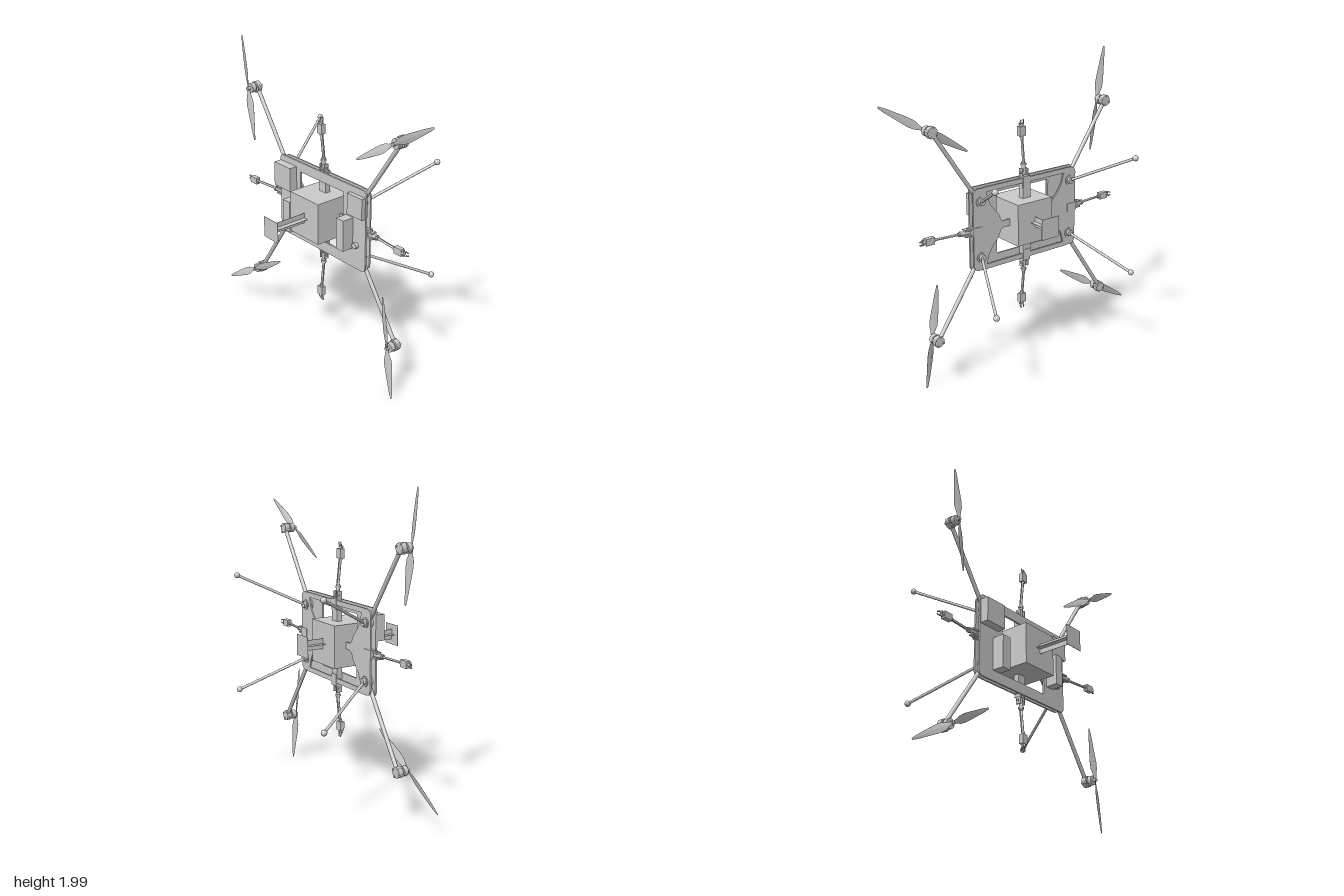
import * as THREE from 'three';

const mat = new THREE.MeshStandardMaterial({ color: 0xcccccc, side: THREE.DoubleSide });
const V = (x, y, z) => new THREE.Vector3(x, y, z);

function add(parent, name, geo, x = 0, y = 0, z = 0) {
  const m = new THREE.Mesh(geo, mat);
  m.name = name;
  m.position.set(x, y, z);
  parent.add(m);
  return m;
}

// box given by its limits on each axis
function box(parent, name, x0, x1, y0, y1, z0, z1) {
  return add(parent, name, new THREE.BoxGeometry(x1 - x0, y1 - y0, z1 - z0),
    (x0 + x1) / 2, (y0 + y1) / 2, (z0 + z1) / 2);
}

// cylinder whose axis runs along z
function disc(parent, name, r, x, y, z0, z1, sides = 20) {
  const g = new THREE.CylinderGeometry(r, r, z1 - z0, sides).rotateX(Math.PI / 2);
  return add(parent, name, g, x, y, (z0 + z1) / 2);
}

// round bar between two points
function rod(parent, name, a, b, r, sides = 12) {
  const d = b.clone().sub(a);
  const m = add(parent, name, new THREE.CylinderGeometry(r, r, d.length(), sides));
  m.position.copy(a).add(b).multiplyScalar(0.5);
  m.quaternion.setFromUnitVectors(V(0, 1, 0), d.normalize());
  return m;
}

function roundedRect(s, x0, y0, x1, y1, r) {
  s.absarc(x1 - r, y1 - r, r, 0, Math.PI / 2);
  s.absarc(x0 + r, y1 - r, r, Math.PI / 2, Math.PI);
  s.absarc(x0 + r, y0 + r, r, Math.PI, Math.PI * 1.5);
  s.absarc(x1 - r, y0 + r, r, Math.PI * 1.5, Math.PI * 2);
  s.closePath();
  return s;
}

const slab = (shape, depth) => new THREE.ExtrudeGeometry(shape, { depth, bevelEnabled: false, curveSegments: 8 });

// twisted, tapering blade along +x
function bladeGeometry(length, hand) {
  const chord = [0.016, 0.028, 0.05, 0.054, 0.049, 0.043, 0.036, 0.03, 0.022, 0.01];
  const g = new THREE.BoxGeometry(1, 1, 1, chord.length - 1, 2, 1).toNonIndexed();
  const p = g.attributes.position;
  for (let i = 0; i < p.count; i++) {
    const u = p.getX(i) + 0.5, v = p.getY(i);
    const c = chord[Math.round(u * (chord.length - 1))];
    const thick = 0.006 * (1 - 0.6 * u) * (Math.abs(v) > 0.4 ? 0.2 : 1);
    const a = hand * (0.4 - 0.3 * u), y = v * c, z = p.getZ(i) * thick;
    p.setXYZ(i, u * length, y * Math.cos(a) - z * Math.sin(a), y * Math.sin(a) + z * Math.cos(a));
  }
  g.computeVertexNormals();
  return g;
}

// arm, motor and propeller for one corner
function rotorArm(sx, sy) {
  const g = new THREE.Group();
  g.name = 'rotorArm';
  const x = 0.667 * sx, y = 1 + 0.658 * sy;
  rod(g, 'armTube', V(0.345 * sx, 1 + 0.18 * sy, 0.017), V(x, y, 0.017), 0.013);
  disc(g, 'motorMount', 0.034, x, y, 0.002, 0.034);
  disc(g, 'motorBase', 0.02, x, y, 0.034, 0.046);
  disc(g, 'motorBell', 0.031, x, y, 0.046, 0.074);
  disc(g, 'motorShaft', 0.011, x, y, 0.07, 0.098, 12);
  for (let i = 0; i < 4; i++) {
    const a = i * Math.PI / 2 + 0.4;
    disc(g, 'mountScrew', 0.007, x + 0.03 * Math.cos(a), y + 0.03 * Math.sin(a), -0.002, 0.042, 8);
  }
  const hand = sx * sy;
  const angle = THREE.MathUtils.degToRad(hand > 0 ? 30.8 : 98.4);
  for (const turn of [0, Math.PI]) {
    add(g, 'propellerBlade', bladeGeometry(0.342, hand), x, y, 0.088).rotation.z = angle + turn;
  }
  return g;
}

// gripper built along +y, then turned to its side of the frame
function gripper(angle, reach) {
  const g = new THREE.Group();
  g.name = 'gripperArm';
  box(g, 'hingeBlock', -0.026, 0.026, -0.06, 0.015, -0.012, 0.028);
  for (const s of [-1, 1]) box(g, 'hingeLug', s * 0.018 - 0.005, s * 0.018 + 0.005, 0, 0.06, 0, 0.034);
  rod(g, 'hingePin', V(-0.03, 0.035, 0.017), V(0.03, 0.035, 0.017), 0.008);
  rod(g, 'link', V(0, 0.02, 0.017), V(0, 0.1, 0.022), 0.013, 8);
  rod(g, 'collar', V(0, 0.078, 0.02), V(0, 0.09, 0.021), 0.018, 8);
  rod(g, 'boom', V(0, 0.08, 0.02), V(0, 0.29, 0.042), 0.007);
  rod(g, 'boomCable', V(0, 0.08, 0.008), V(0, 0.27, 0.028), 0.003, 6);
  box(g, 'servoBox', -0.022, 0.022, 0.262, 0.322, 0.024, 0.054);
  rod(g, 'wrist', V(0, 0.25, 0.039), V(0, 0.34, 0.042), 0.011, 8);
  rod(g, 'wristPin', V(-0.017, 0.335, 0.042), V(0.017, 0.335, 0.042), 0.007, 8);
  for (const s of [-1, 1]) {
    rod(g, 'fingerBase', V(0, 0.33, 0.042), V(s * 0.014, 0.348, 0.036), 0.005, 6);
    rod(g, 'fingerTip', V(s * 0.014, 0.346, 0.036), V(s * 0.008, 0.364, 0.032), 0.004, 6);
  }
  g.rotation.z = angle;
  g.position.set(-Math.sin(angle) * reach, 1 + Math.cos(angle) * reach, 0);
  return g;
}

export function createModel() {
  const model = new THREE.Group();
  model.name = 'drone';

  // front plate with its window
  const plate = roundedRect(new THREE.Shape(), -0.408, -0.27, 0.408, 0.27, 0.03);
  plate.holes.push(roundedRect(new THREE.Path(), -0.204, -0.2, 0.204, 0.205, 0.006));
  add(model, 'frontPlate', slab(plate, 0.012), 0, 1.005, 0.028);

  // rear side panels with bulging inner edges, joined by a crossbar
  for (const s of [-1, 1]) {
    const panel = new THREE.Shape();
    panel.moveTo(0.405, -0.23);
    panel.lineTo(0.405, 0.23);
    panel.quadraticCurveTo(0.4, 0.265, 0.36, 0.265);
    panel.quadraticCurveTo(0.31, 0.265, 0.3, 0.21);
    panel.bezierCurveTo(0.285, 0.12, 0.21, 0.09, 0.205, 0.05);
    panel.quadraticCurveTo(0.2, 0.024, 0.17, 0.022);
    panel.lineTo(0.12, 0.022);
    panel.lineTo(0.12, -0.022);
    panel.lineTo(0.17, -0.022);
    panel.quadraticCurveTo(0.2, -0.024, 0.205, -0.05);
    panel.bezierCurveTo(0.21, -0.09, 0.285, -0.12, 0.3, -0.21);
    panel.quadraticCurveTo(0.31, -0.265, 0.36, -0.265);
    panel.quadraticCurveTo(0.4, -0.265, 0.405, -0.23);
    const m = add(model, 'rearPanel', slab(panel, 0.01), 0, 1.005, s > 0 ? -0.008 : 0.002);
    if (s < 0) m.rotation.y = Math.PI;
    // edge rails
    const y = 1.005 + s * 0.25;
    box(model, 'edgeRail', -0.34, 0.34, y - 0.016, y + 0.016, -0.008, 0.002);
  }
  box(model, 'spine', -0.033, 0.028, 0.74, 1.27, -0.008, 0.028);

  // central body and the cross-section mast running through it
  box(model, 'body', -0.138, 0.13, 0.867, 1.137, -0.092, 0.176);
  box(model, 'mastWebFlat', -0.036, 0.03, 1.0005, 1.0035, -0.24, 0.432);
  box(model, 'mastWebUpright', -0.0045, -0.0015, 0.969, 1.035, -0.24, 0.432);
  for (const z of [-0.241, 0.431]) box(model, 'mastEndPlate', -0.07, 0.064, 0.935, 1.069, z, z + 0.003);

  // equipment on the front plate
  box(model, 'batteryBox', -0.402, -0.242, 1.075, 1.235, 0.04, 0.095);
  box(model, 'sensorBoxRight', -0.287, -0.22, 0.802, 1.017, 0.04, 0.12);
  box(model, 'radioBox', 0.27, 0.402, 1.095, 1.232, 0.04, 0.068);
  box(model, 'sensorBoxLeft', 0.232, 0.296, 0.865, 1.07, 0.04, 0.12);
  disc(model, 'cameraLens', 0.019, 0.33, 0.897, 0.04, 0.062);

  // corners: hinge, rotor arm and rear leg
  for (const sx of [-1, 1]) for (const sy of [-1, 1]) {
    const x = 0.352 * sx, y = 1.005 + 0.18 * sy;
    disc(model, 'armHinge', 0.032, x, y, -0.014, 0.034);
    disc(model, 'legSocket', 0.021, x, y, -0.032, -0.014, 12);
    model.add(rotorArm(sx, sy));
    const foot = V(0.541 * sx, 1.005 + 0.382 * sy, -0.411);
    rod(model, 'leg', V(x, y, -0.015), foot, 0.009);
    add(model, 'legFoot', new THREE.SphereGeometry(0.019, 16, 10), foot.x, foot.y, foot.z);
  }

  // one gripper on each side of the frame
  for (let i = 0; i < 4; i++) model.add(gripper(i * Math.PI / 2, i % 2 ? 0.4 : 0.265));
  return model;
}
